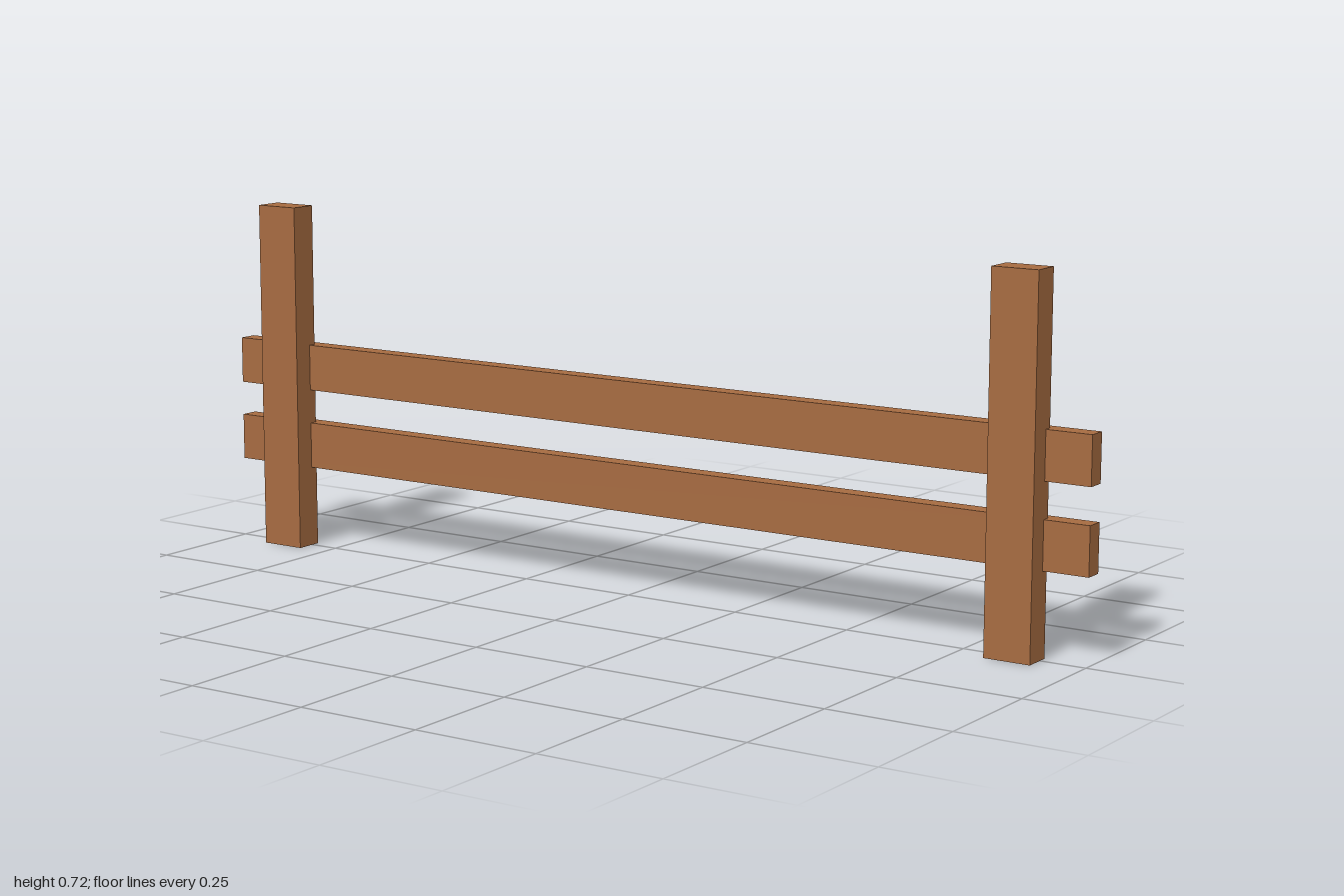
import * as THREE from 'three';

export function createModel() {
  const model = new THREE.Group();
  model.name = 'railFence';

  const wood = new THREE.MeshStandardMaterial({ color: 0xa66b41 });
  wood.name = 'brown wood';

  // Adds a board spanning the given minimum and maximum corners
  const addBoard = (name, min, max) => {
    const size = max.map((v, i) => v - min[i]);
    const board = new THREE.Mesh(new THREE.BoxGeometry(...size), wood);
    board.name = name;
    board.position.set(...max.map((v, i) => (v + min[i]) / 2));
    model.add(board);
  };

  // Upright posts, mirrored left and right
  for (const [name, x] of [['leftPost', 0.86], ['rightPost', -0.86]]) {
    addBoard(name, [x - 0.0475, 0, -0.018], [x + 0.0475, 0.722, 0.04]);
  }

  // Horizontal rails, notched into the back of the posts
  for (const [name, y] of [['lowerRail', 0.167], ['upperRail', 0.333]]) {
    addBoard(name, [-1, y, -0.04], [1, y + 0.0955, -0.002]);
  }

  return model;
}
